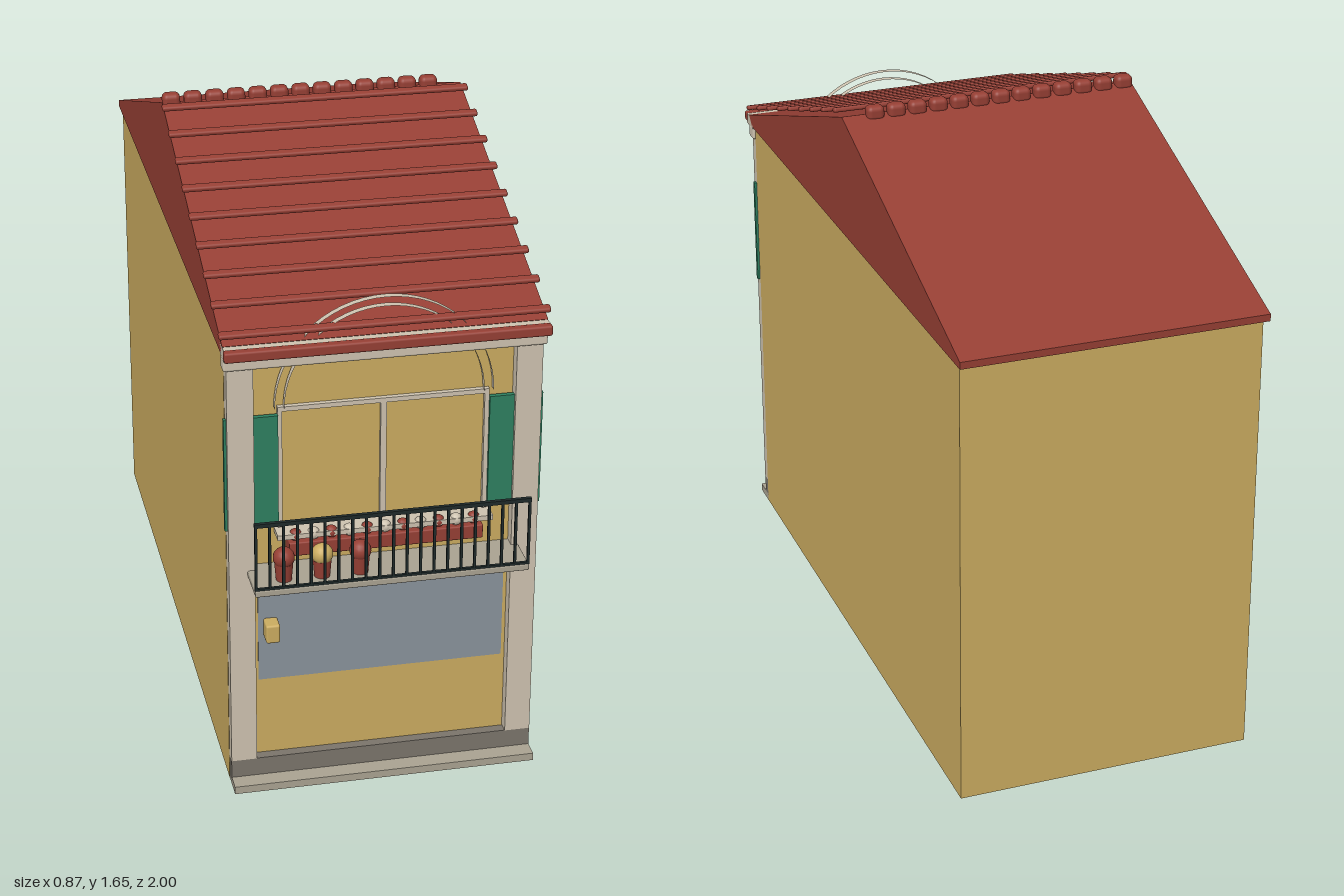
import * as THREE from 'three';
import { RoundedBoxGeometry } from 'three/addons/geometries/RoundedBoxGeometry.js';

export function createModel() {
  const house = new THREE.Group();
  house.name = 'house';
  const paint = (name, color) => Object.assign(new THREE.MeshStandardMaterial({ color }), { name });
  const ochre = paint('ochre plaster', 0xcbac60);
  const red = paint('terracotta', 0x963f34);
  const cream = paint('cream trim', 0xcec3b0);
  const stone = paint('pale stone', 0xaaa392);
  const plinthGrey = paint('plinth grey', 0x7b756b);
  const green = paint('shutter green', 0x2e8060);
  const glass = paint('blue grey panel', 0x8a939c);
  const iron = paint('dark iron', 0x1f2a2a);
  const archCream = paint('arch cream', 0xcec3b0);
  archCream.side = THREE.DoubleSide;

  const add = (name, geometry, material, x = 0, y = 0, z = 0) => {
    const mesh = new THREE.Mesh(geometry, material);
    mesh.name = name;
    mesh.position.set(x, y, z);
    house.add(mesh);
    return mesh;
  };
  // Box given by its limits on each axis
  const box = (name, material, x0, x1, y0, y1, z0, z1, round = 0) => {
    const size = [x1 - x0, y1 - y0, z1 - z0];
    const geometry = round ? new RoundedBoxGeometry(...size, 2, round) : new THREE.BoxGeometry(...size);
    return add(name, geometry, material, (x0 + x1) / 2, (y0 + y1) / 2, (z0 + z1) / 2);
  };

  // Main walls
  box('walls', ochre, -0.418, 0.418, 0.002, 1.288, -0.975, 0.855);

  // Solid gable roof, extruded across the width
  const profile = new THREE.Shape([
    [-0.86, 1.285], [1.0, 1.285], [1.0, 1.305], [0.06, 1.63], [-0.89, 1.314],
  ].map(([u, v]) => new THREE.Vector2(u, v)));
  const roof = new THREE.ExtrudeGeometry(profile, { depth: 0.852, bevelEnabled: false });
  roof.translate(0, 0, -0.426).rotateY(Math.PI / 2);
  add('roof', roof, red);

  // Tile battens above the front slope
  const batten = new RoundedBoxGeometry(0.868, 0.014, 0.024, 2, 0.006);
  for (let i = 0; i < 9; i++) {
    add('roofBatten', batten, red, 0, 1.633 - i * 0.0366, -0.008 + i * 0.111).rotation.x = 0.32;
  }

  // Ridge tiles
  const ridgeTile = new RoundedBoxGeometry(0.05, 0.042, 0.04, 3, 0.014);
  for (let i = 0; i < 13; i++) add('ridgeTile', ridgeTile, red, -0.4 + i * 0.0611, 1.634, -0.065);

  // Cornice and gutter
  box('lowerCornice', cream, -0.426, 0.426, 1.245, 1.282, 0.855, 0.897, 0.006);
  box('upperCornice', cream, -0.426, 0.426, 1.28, 1.312, 0.855, 0.915);
  box('gutter', red, -0.428, 0.428, 1.285, 1.314, 0.908, 0.934, 0.006);

  // Plinth, step and corner pilasters
  box('plinth', plinthGrey, -0.417, 0.417, 0.01, 0.075, 0.85, 0.886);
  box('step', stone, -0.417, 0.417, 0, 0.022, 0.85, 0.935);
  for (const s of [-1, 1]) {
    const c = s * 0.382;
    box('pilaster', cream, c - 0.035, c + 0.035, 0.075, 1.25, 0.85, 0.888);
    const m = s * 0.3525;
    box('shutter', green, m - 0.0715, m + 0.0715, 0.778, 1.1, 0.863, 0.877);
    box('windowJamb', cream, s * 0.275 - 0.006, s * 0.275 + 0.006, 0.77, 1.118, 0.853, 0.868);
  }

  // Window frame
  box('windowHead', cream, -0.281, 0.281, 1.107, 1.12, 0.853, 0.869);
  box('windowMullion', cream, -0.008, 0.008, 0.77, 1.11, 0.853, 0.866);
  box('windowSill', cream, -0.29, 0.29, 0.752, 0.766, 0.853, 0.908);

  // Open arch bands over the window
  for (const r of [0.265, 0.29]) {
    const band = new THREE.CylinderGeometry(r, r, 0.02, 32, 1, true, Math.PI / 2, Math.PI);
    band.rotateX(Math.PI / 2);
    add('archBand', band, archCream, 0, 1.12, 0.87);
  }

  // Ground floor door panel and lamp
  box('doorLeaf', ochre, -0.346, 0.346, 0.075, 0.622, 0.85, 0.858);
  box('doorPanel', glass, -0.336, 0.336, 0.307, 0.592, 0.855, 0.861);
  box('wallLamp', ochre, -0.322, -0.284, 0.442, 0.496, 0.858, 0.907, 0.006);

  // Balcony slab and railing
  box('balconySlab', stone, -0.367, 0.367, 0.641, 0.66, 0.85, 1.0, 0.004);
  box('handrail', iron, -0.368, 0.368, 0.845, 0.856, 0.989, 1.0);
  box('bottomRail', iron, -0.368, 0.368, 0.66, 0.666, 0.991, 0.999);
  const bar = new THREE.BoxGeometry(0.007, 0.19, 0.007);
  for (let i = 0; i <= 20; i++) add('railBar', bar, iron, -0.364 + i * 0.0364, 0.755, 0.995);

  // Flower box with blossoms
  box('flowerBox', red, -0.26, 0.262, 0.704, 0.744, 0.856, 0.914, 0.004);
  const blossom = new THREE.SphereGeometry(0.017, 12, 8);
  for (let i = 0; i < 11; i++) {
    add('blossom', blossom, i % 2 ? cream : red, -0.24 + i * 0.048, 0.758, 0.893);
  }

  // Potted bushes
  const pot = new THREE.CylinderGeometry(0.025, 0.021, 0.05, 16);
  const bush = new THREE.SphereGeometry(0.029, 16, 12);
  [red, ochre, red].forEach((material, i) => {
    const x = -0.282 + i * 0.102;
    add('plantPot', pot, red, x, 0.684, 0.948);
    add('bush', bush, material, x, 0.724, 0.948);
  });

  house.position.x = -0.003;
  const model = new THREE.Group();
  model.add(house);
  return model;
}
